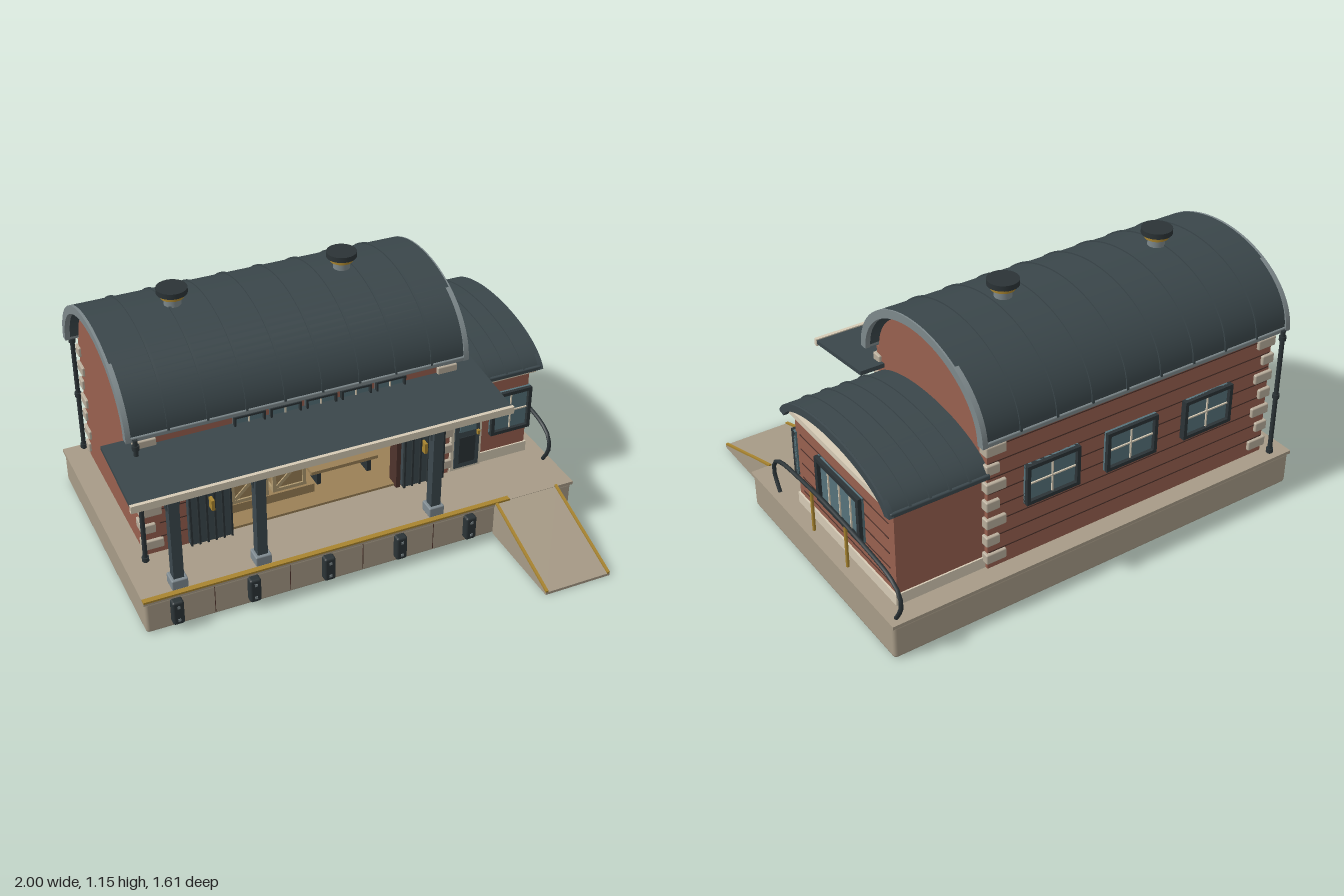
import * as THREE from 'three';
import { RoundedBoxGeometry } from 'three/addons/geometries/RoundedBoxGeometry.js';
import { toCreasedNormals } from 'three/addons/utils/BufferGeometryUtils.js';

const paint = (color) => new THREE.MeshStandardMaterial({ color });
const M = {
  brick: paint(0x98604f), groove: paint(0x4f332c), stone: paint(0xa79b87), paleStone: paint(0xb9ae9c),
  roof: paint(0x3a464a), trim: paint(0x7d888b), dark: paint(0x2b3336), steel: paint(0x3c484d),
  cream: paint(0xd6cbb5), gold: paint(0xa8842f), wood: paint(0x9a8056), paleWood: paint(0xb09a70),
  glass: paint(0x56727a), footing: paint(0x7f8a90),
};
const MID = -0.325; // z of the roof ridge

export function createModel() {
  const root = new THREE.Group();

  function add(name, geo, mat, parent = root) {
    const m = new THREE.Mesh(geo, mat);
    m.name = name;
    parent.add(m);
    return m;
  }
  function group(name, x = 0, y = 0, z = 0) {
    const g = new THREE.Group();
    g.name = name;
    g.position.set(x, y, z);
    root.add(g);
    return g;
  }
  // box between two corners
  function box(name, mat, x0, x1, y0, y1, z0, z1, parent = root, round = 0) {
    const s = [x1 - x0, y1 - y0, z1 - z0];
    const geo = round ? new RoundedBoxGeometry(...s, 2, round) : new THREE.BoxGeometry(...s);
    const m = add(name, geo, mat, parent);
    m.position.set((x0 + x1) / 2, (y0 + y1) / 2, (z0 + z1) / 2);
    return m;
  }
  // extrude a (-z, y) profile along x
  function alongX(name, mat, pts, x0, x1, zMid = 0) {
    const shape = new THREE.Shape(pts.map((p) => new THREE.Vector2(...p)));
    let geo = new THREE.ExtrudeGeometry(shape, { depth: x1 - x0, bevelEnabled: false });
    geo = toCreasedNormals(geo.rotateY(Math.PI / 2).translate(x0, 0, zMid), 0.5);
    return add(name, geo, mat);
  }
  function arc(a, b, y, t0 = 0, n = 36) {
    return Array.from({ length: n + 1 }, (_, i) => {
      const t = t0 + ((Math.PI - 2 * t0) * i) / n;
      return [a * Math.cos(t), y + b * Math.sin(t)];
    });
  }
  const band = (a, b, y, th, t0) => [...arc(a, b, y, t0), ...arc(a - th, b - th, y, t0).reverse()];
  function tube(name, mat, pts, r, parent = root) {
    const curve = new THREE.CatmullRomCurve3(pts.map((p) => new THREE.Vector3(...p)));
    return add(name, new THREE.TubeGeometry(curve, 32, r, 8), mat, parent);
  }
  function rod(name, mat, x, y0, y1, z, r, r2 = r, parent = root) {
    const m = add(name, new THREE.CylinderGeometry(r2, r, y1 - y0, 24), mat, parent);
    m.position.set(x, (y0 + y1) / 2, z);
    return m;
  }

  // platform and its edge
  box('platformBody', M.stone, -0.97, 0.995, 0, 0.155, -0.795, 0.35, root, 0.015);
  box('platformTop', M.stone, -0.975, 1, 0.15, 0.165, -0.8, 0.355);
  box('safetyStrip', M.gold, -0.975, 0.68, 0.163, 0.172, 0.335, 0.359);
  for (let i = 0; i < 9; i++) {
    const x = -0.84 + i * 0.165;
    box('platformJoint', M.groove, x - 0.0015, x + 0.0015, 0.015, 0.145, 0.345, 0.351);
  }
  for (let i = 0; i < 5; i++) {
    const x = -0.84 + i * 0.331;
    box('dockBumper', M.dark, x - 0.025, x + 0.025, 0.03, 0.145, 0.34, 0.383, root, 0.01);
    for (const y of [0.055, 0.12]) box('bumperBolt', M.trim, x - 0.006, x + 0.006, y - 0.006, y + 0.006, 0.38, 0.386);
  }
  // loading ramp
  alongX('ramp', M.stone, [[-0.8, 0], [-0.35, 0], [-0.35, 0.165], [-0.8, 0.012]], 0.61, 0.92);
  for (const x of [0.61, 0.908]) {
    alongX('rampEdge', M.gold, [[-0.8, 0.01], [-0.35, 0.163], [-0.35, 0.172], [-0.8, 0.02]], x, x + 0.012);
  }

  // main hall: hollow, with a wide front opening
  const front = new THREE.Shape([[-0.87, 0.165], [-0.5, 0.165], [-0.5, 0.625], [0.28, 0.625], [0.28, 0.165],
    [0.53, 0.165], [0.53, 0.77], [-0.87, 0.77]].map((p) => new THREE.Vector2(...p)));
  add('hallFrontWall', new THREE.ExtrudeGeometry(front, { depth: 0.05, bevelEnabled: false }), M.brick).position.z = 0.02;
  box('hallBackWall', M.brick, -0.87, 0.53, 0.165, 0.77, -0.72, -0.67);
  for (const x of [-0.87, 0.48]) {
    box('hallEndWall', M.brick, x, x + 0.05, 0.165, 0.77, -0.72, 0.07);
    alongX('hallGable', M.brick, arc(0.375, 0.26, 0.77), x, x + 0.05, MID);
  }
  box('hallFloor', M.wood, -0.82, 0.48, 0.16, 0.176, -0.67, 0.06);
  for (const [x0, x1] of [[-0.52, -0.5], [0.27, 0.29]]) box('openingJamb', M.groove, x0, x1, 0.165, 0.63, 0.015, 0.08);

  // vaulted roofs with seams and end trims
  function vault(name, x0, x1, a, b, y, t0, seams, trims) {
    alongX(name, M.roof, band(a, b, y, 0.022, t0), x0, x1, MID);
    for (let i = 1; i < seams; i++) {
      const x = x0 + ((x1 - x0) * i) / seams;
      alongX(name + 'Seam', M.roof, band(a + 0.006, b + 0.006, y, 0.01, t0), x - 0.005, x + 0.005, MID);
    }
    for (const [x, mat] of trims) alongX(name + 'Trim', mat, band(a + 0.009, b + 0.009, y - 0.01, 0.036, t0), x, x + 0.022, MID);
    for (const s of [-1, 1]) {
      const z = MID + s * (a * Math.cos(t0) - 0.008), ye = y + b * Math.sin(t0);
      box(name + 'Eave', mat0(trims), x0, x1, ye - 0.014, ye + 0.008, z - 0.014, z + 0.014, root, 0.006);
    }
  }
  const mat0 = (trims) => trims[0][1];
  vault('hallRoof', -0.91, 0.57, 0.43, 0.3, 0.775, 0, 9, [[-0.922, M.trim], [0.555, M.trim]]);
  vault('annexRoof', 0.53, 0.955, 0.418, 0.16, 0.59, 0.17, 5, [[0.942, M.steel]]);

  // roof vents
  for (const x of [-0.56, 0.19]) {
    const g = group('roofVent', x, 0, MID);
    rod('ventStem', M.trim, 0, 1.05, 1.115, 0, 0.036, 0.036, g);
    rod('ventCollar', M.gold, 0, 1.108, 1.125, 0, 0.05, 0.05, g);
    rod('ventCap', M.dark, 0, 1.127, 1.15, 0, 0.065, 0.065, g);
  }

  // annex
  box('annexWalls', M.brick, 0.52, 0.92, 0.165, 0.6, -0.7, 0.055);
  box('annexCornice', M.cream, 0.53, 0.935, 0.595, 0.62, -0.725, 0.085);
  box('annexPlinth', M.cream, 0.53, 0.928, 0.165, 0.215, -0.707, 0.062);

  // brick courses
  for (let i = 0; i < 8; i++) {
    const y = 0.24 + i * 0.069;
    box('backCourse', M.groove, -0.865, 0.525, y, y + 0.005, -0.722, -0.715);
    if (y < 0.6) {
      box('annexSideCourse', M.groove, 0.915, 0.922, y, y + 0.005, -0.66, 0.02);
      box('frontCourse', M.groove, -0.8, -0.68, y, y + 0.005, 0.065, 0.072);
    }
  }
  // corner stones, alternating long and short
  for (const [x, s] of [[-0.87, 1], [0.53, -1]]) {
    for (const [z, d] of [[0.07, -1], [-0.72, 1]]) {
      for (let i = 0; i < 7; i++) {
        const y = 0.195 + i * 0.083, lx = i % 2 ? 0.05 : 0.08, lz = i % 2 ? 0.065 : 0.035;
        const xs = [x - s * 0.012, x + s * lx].sort((p, q) => p - q);
        const zs = [z - d * 0.014, z + d * lz].sort((p, q) => p - q);
        box('cornerStone', M.paleStone, ...xs, y, y + 0.045, ...zs, root, 0.006);
      }
    }
  }

  // framed windows facing local +z
  function windowUnit(name, x, y, z, turn, w, h, cols, rows, t = 0.016) {
    const g = group(name, x, y, z), a = w / 2, b = h / 2;
    g.rotation.y = turn;
    box('glass', M.glass, -a, a, -b, b, -0.01, 0.008, g);
    for (const s of [-1, 1]) {
      box('frameSide', M.dark, s * (a - t / 2) - t / 2, s * (a - t / 2) + t / 2, -b, b, -0.01, 0.024, g);
      box('frameRail', M.dark, -a, a, s * (b - t / 2) - t / 2, s * (b - t / 2) + t / 2, -0.01, 0.024, g);
    }
    for (let i = 1; i < cols; i++) box('mullion', M.cream, -a + (w * i) / cols - 0.003, -a + (w * i) / cols + 0.003, -b + t, b - t, 0, 0.014, g);
    for (let i = 1; i < rows; i++) box('glazingBar', M.cream, -a + t, a - t, -b + (h * i) / rows - 0.003, -b + (h * i) / rows + 0.003, 0, 0.014, g);
  }
  for (const x of [-0.53, -0.14, 0.24]) windowUnit('backWindow', x, 0.5, -0.722, Math.PI, 0.25, 0.18, 2, 2);
  windowUnit('annexFrontWindow', 0.83, 0.412, 0.057, 0, 0.195, 0.21, 2, 2);
  windowUnit('annexSideWindow', 0.922, 0.415, -0.31, Math.PI / 2, 0.34, 0.21, 4, 1, 0.02);
  for (let i = 0; i < 5; i++) windowUnit('clerestoryWindow', -0.4 + i * 0.157, 0.72, 0.07, 0, 0.135, 0.055, 2, 1, 0.008);

  // annex door
  box('doorFrame', M.cream, 0.54, 0.69, 0.165, 0.57, 0.05, 0.07);
  box('doorLeaf', M.steel, 0.555, 0.675, 0.18, 0.555, 0.06, 0.078);
  box('doorGlass', M.glass, 0.575, 0.655, 0.37, 0.53, 0.07, 0.082);
  box('doorPanel', M.dark, 0.575, 0.655, 0.205, 0.34, 0.07, 0.081);
  box('doorKnob', M.gold, 0.659, 0.67, 0.345, 0.365, 0.075, 0.092);

  // sliding hall doors, pushed open, on a shared track
  box('doorTrack', M.dark, -0.7, 0.51, 0.625, 0.645, 0.07, 0.11);
  for (const [x0, x1, h] of [[-0.685, -0.5, -0.59], [0.29, 0.485, 0.38]]) {
    box('slidingDoor', M.steel, x0, x1, 0.18, 0.625, 0.075, 0.105);
    for (let i = 0; i <= 5; i++) {
      const x = x0 + ((x1 - x0 - 0.008) * i) / 5;
      box('doorBatten', M.dark, x, x + 0.008, 0.18, 0.625, 0.1, 0.115);
    }
    box('doorHandle', M.gold, h - 0.007, h + 0.007, 0.355, 0.405, 0.1, 0.14);
  }

  // canopy with fascia, posts, curved brackets and lamps
  const slope = 0.105;
  const deck = box('canopyDeck', M.roof, -0.997, 0.64, 0.676, 0.694, 0.012, 0.385);
  deck.rotation.x = slope;
  box('canopyFascia', M.cream, -1, 0.643, 0.648, 0.68, 0.378, 0.394);
  box('canopyBeam', M.steel, -0.93, 0.58, 0.645, 0.66, 0.275, 0.315);
  for (const x of [-0.81, -0.45, 0.34]) {
    const g = group('canopyPost', x, 0, 0.295);
    box('postFoot', M.footing, -0.035, 0.035, 0.165, 0.212, -0.035, 0.035, g, 0.006);
    box('postShaft', M.steel, -0.022, 0.022, 0.21, 0.655, -0.022, 0.022, g);
    for (const s of [-1, 1]) {
      tube('postBracket', M.steel, [[s * 0.02, 0.545, 0], [s * 0.035, 0.6, 0], [s * 0.07, 0.635, 0], [s * 0.12, 0.65, 0]], 0.008, g);
    }
    tube('wallBracket', M.steel, [[0, 0.56, -0.02], [0, 0.63, -0.05], [0, 0.672, -0.11]], 0.008, g);
  }
  for (const x of [-0.63, 0.07]) {
    const g = group('hangingLamp', x, 0, 0.21);
    rod('lampStem', M.dark, 0, 0.63, 0.685, 0, 0.006, 0.006, g);
    rod('lampShade', M.steel, 0, 0.602, 0.635, 0, 0.038, 0.014, g);
    rod('lampBulb', M.cream, 0, 0.594, 0.604, 0, 0.014, 0.018, g);
  }

  // downpipes on the right-hand end
  for (const z of [0.115, -0.765]) {
    rod('downpipe', M.dark, -0.885, 0.17, 0.775, z, 0.01);
    for (const y of [0.175, 0.45, 0.73]) rod('pipeCollar', M.dark, -0.885, y, y + 0.02, z, 0.015);
  }

  // curved handrail beside the annex
  const half = [[0.462, 0.17], [0.5, 0.24], [0.495, 0.295], [0.44, 0.335], [0.22, 0.362]];
  tube('handrail', M.dark, [...half, [0, 0.37], ...half.map(([u, y]) => [-u, y]).reverse()].map(([u, y]) => [0.965, y, MID + 0.05 * 0.4 + u]), 0.009);
  for (const z of [-0.135, -0.405]) rod('handrailPost', M.gold, 0.965, 0.165, 0.36, z, 0.007);

  // crates on a pallet, and a bench
  function crate(x, y, z, s) {
    const g = group('crate', x, y, z), a = s / 2, t = 0.016;
    box('crateCore', M.wood, -a + 0.008, a - 0.008, 0.004, s - 0.004, -a + 0.008, a - 0.008, g);
    for (const p of [-1, 1]) for (const q of [-1, 1]) {
      const u = p * (a - t / 2), v = q * (a - t / 2), h = t / 2;
      box('crateUpright', M.paleWood, u - h, u + h, 0, s, v - h, v + h, g);
      box('crateRailX', M.paleWood, -a, a, a + u - h, a + u + h, v - h, v + h, g);
      box('crateRailZ', M.paleWood, u - h, u + h, a + v - h, a + v + h, -a, a, g);
    }
    const brace = box('crateBrace', M.paleWood, -a * 1.2, a * 1.2, a - 0.008, a + 0.008, a - 0.01, a - 0.002, g);
    brace.rotation.z = Math.PI / 4;
  }
  box('pallet', M.wood, -0.45, -0.07, 0.176, 0.218, -0.22, -0.03);
  crate(-0.365, 0.218, -0.12, 0.17);
  crate(-0.36, 0.39, -0.12, 0.145);
  crate(-0.18, 0.218, -0.12, 0.155);
  box('benchSeat', M.wood, -0.07, 0.25, 0.24, 0.256, -0.15, -0.06);
  for (const x of [-0.04, 0.2]) box('benchLeg', M.dark, x, x + 0.02, 0.176, 0.24, -0.14, -0.07);

  return root;
}
